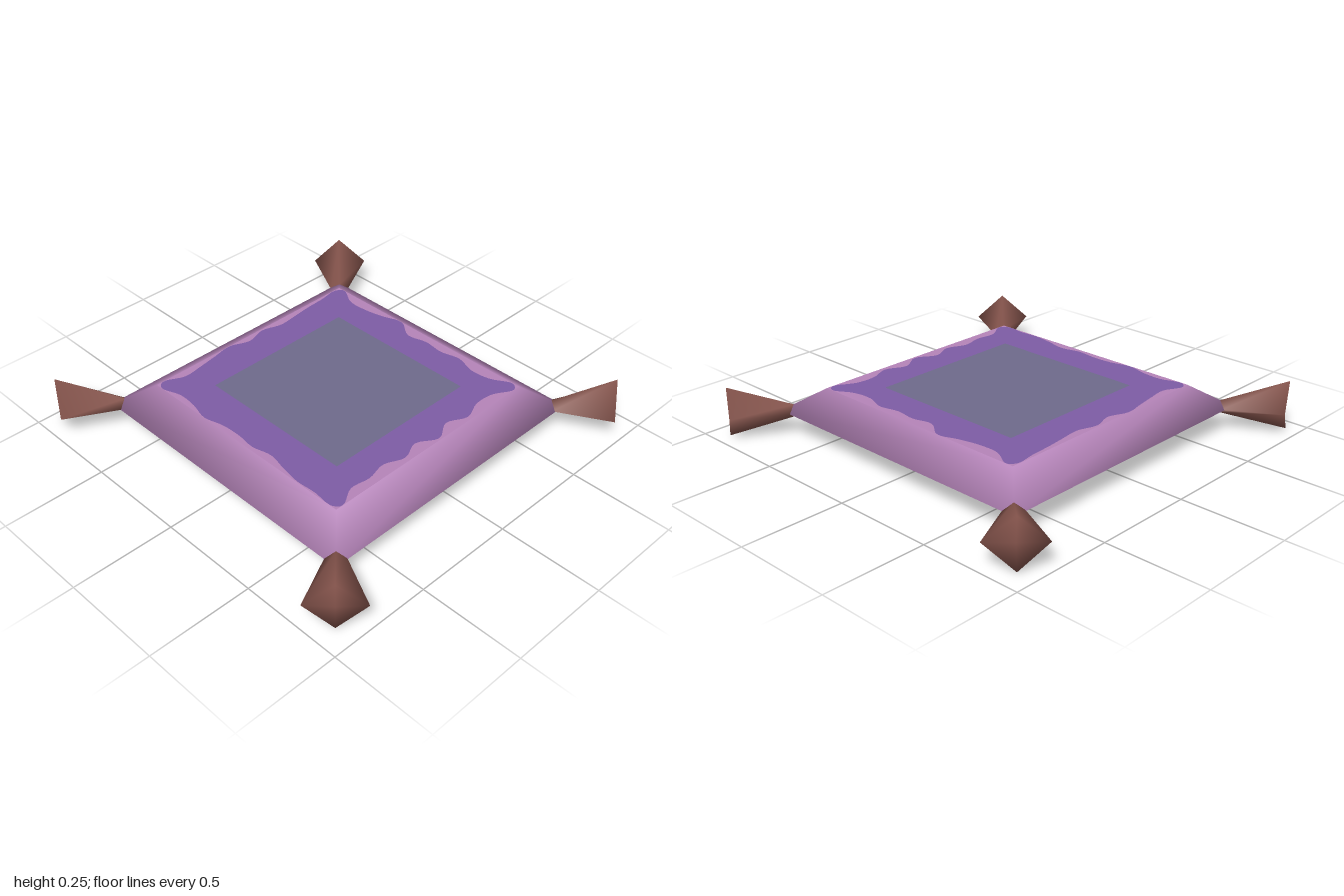
import * as THREE from 'three';

const material = (name, color, side = THREE.DoubleSide) => {
  const m = new THREE.MeshStandardMaterial({ color, side });
  m.name = name;
  return m;
};

const TOP = 0.225, MID = 0.115;

// Indexed geometry with smooth normals
function smoothGeometry(positions, indices) {
  const g = new THREE.BufferGeometry();
  g.setAttribute('position', new THREE.Float32BufferAttribute(positions, 3));
  g.setIndex(indices);
  g.computeVertexNormals();
  return g;
}

// Joins consecutive rings of n points with quads
function ringIndices(rings, n) {
  const idx = [];
  for (let r = 0; r < rings - 1; r++) {
    for (let i = 0; i < n; i++) {
      const a = r * n + i, b = r * n + (i + 1) % n, c = a + n, d = b + n;
      idx.push(a, c, b, b, c, d);
    }
  }
  return idx;
}

// Padded side walls, open underneath: square rings from top to bottom
function sideGeometry() {
  const pos = [];
  for (const [h, y] of [[0.59, TOP], [0.745, MID], [0.585, 0]]) {
    for (const [sx, sz] of [[1, 1], [1, -1], [-1, -1], [-1, 1]]) pos.push(sx * h, y, sz * h);
  }
  return smoothGeometry(pos, ringIndices(3, 4));
}

// Four-sided flared tassel pointing out of a corner; (px, pz) is its end ridge
function tasselGeometry(sx, sz, px, pz) {
  const t = 0.03;
  const pos = [
    // narrow knot
    0.7 + t, MID, 0.7 - t, 0.7, MID + t, 0.7, 0.7 - t, MID, 0.7 + t, 0.7, MID - t, 0.7,
    // wide end
    0.99, 0.125, 0.8, px, 0.245, pz, 0.8, 0.125, 0.99, px, 0.005, pz,
    // centres of the two caps
    0.68, MID, 0.68, 0.9, 0.125, 0.9,
  ];
  const idx = ringIndices(2, 4);
  for (let i = 0; i < 4; i++) {
    const j = (i + 1) % 4;
    idx.push(8, i, j, 9, 4 + j, 4 + i);
  }
  for (let i = 0; i < pos.length; i += 3) {
    pos[i] *= sx;
    pos[i + 2] *= sz;
  }
  // Mirroring on one axis turns the faces inside out; the unmirrored order faces inwards
  if (sx * sz > 0) idx.reverse();
  const g = smoothGeometry(pos, idx);
  // Make sure that the faces point outwards
  const p = g.attributes.position, v = (i) => new THREE.Vector3().fromBufferAttribute(p, i);
  const [a, b, c] = [0, 1, 2].map((k) => v(g.index.getX(k)));
  const normal = b.clone().sub(a).cross(c.clone().sub(a));
  const middle = new THREE.Vector3(0.83 * sx, 0.12, 0.83 * sz);
  if (normal.dot(a.add(b).add(c).divideScalar(3).sub(middle)) < 0) {
    g.setIndex(Array.from(g.index.array).reverse());
    g.computeVertexNormals();
  }
  return g;
}

const square = (h) => [[-h, -h], [h, -h], [h, h], [-h, h]].map(([x, y]) => new THREE.Vector2(x, y));

// Uneven, scalloped border: distance from the centre at even steps along each side
function scallopedOutline() {
  const back = [0.59, 0.55, 0.56, 0.575, 0.59, 0.555, 0.58, 0.552, 0.56, 0.57, 0.575, 0.585];
  const right = [0.59, 0.54, 0.54, 0.56, 0.59, 0.53, 0.55, 0.54, 0.56, 0.53, 0.54, 0.588];
  const front = [0.588, 0.54, 0.535, 0.57, 0.53, 0.58, 0.53, 0.565, 0.53, 0.55, 0.54, 0.59];
  const left = [0.588, 0.58, 0.585, 0.57, 0.55, 0.57, 0.56, 0.565, 0.588, 0.565, 0.56, 0.588];
  const pts = [];
  [back, right, front, left].forEach((side, k) => {
    side.forEach((d, i) => {
      const s = -0.555 + (1.11 * i) / (side.length - 1);
      const [x, z] = [[s, -d], [d, s], [-s, d], [-d, -s]][k];
      pts.push(new THREE.Vector3(x, -z, 0));
    });
  });
  return new THREE.CatmullRomCurve3(pts, true).getPoints(240).slice(0, -1)
    .map((p) => new THREE.Vector2(
      THREE.MathUtils.clamp(p.x, -0.589, 0.589), THREE.MathUtils.clamp(p.y, -0.589, 0.589)));
}

// Flat horizontal panel with an optional cutout
function panelGeometry(outline, hole) {
  const shape = new THREE.Shape(outline);
  if (hole) shape.holes.push(new THREE.Path(hole));
  return new THREE.ShapeGeometry(shape).rotateX(-Math.PI / 2).translate(0, TOP, 0);
}

export function createModel() {
  const pink = material('mauve cloth', 0xb584b9);
  const purple = material('purple cloth', 0x7d5ca5);
  const grey = material('grey violet cloth', 0x6e6a8c);
  const brown = material('brown tassel', 0x85544c, THREE.FrontSide);

  const model = new THREE.Group();
  model.name = 'cushion';
  const add = (name, geometry, mat) => {
    const mesh = new THREE.Mesh(geometry, mat);
    mesh.name = name;
    model.add(mesh);
  };

  add('sides', sideGeometry(), pink);

  // Top cloth in three nested pieces
  const scallops = scallopedOutline();
  add('topEdge', panelGeometry(square(0.59), scallops), pink);
  add('topBorder', panelGeometry(scallops, square(0.4)), purple);
  add('topCentre', panelGeometry(square(0.4)), grey);

  // Corner tassels
  add('frontLeftTassel', tasselGeometry(1, 1, 0.935, 0.89), brown);
  add('frontRightTassel', tasselGeometry(-1, 1, 0.9, 0.9), brown);
  add('backLeftTassel', tasselGeometry(1, -1, 0.905, 0.91), brown);
  add('backRightTassel', tasselGeometry(-1, -1, 0.915, 0.935), brown);

  return model;
}
